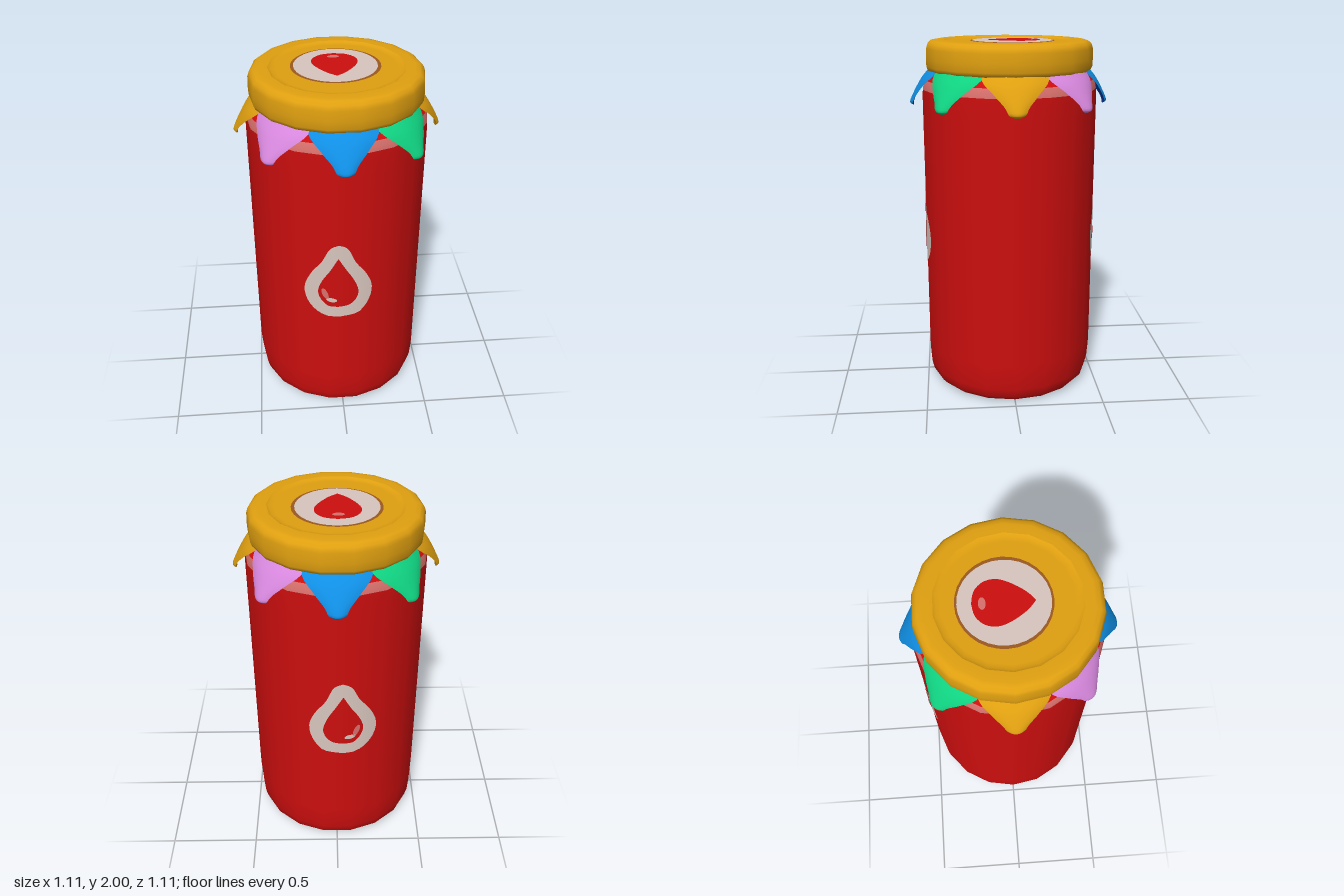
import * as THREE from 'three';

const paint = (name, color) => {
  const m = new THREE.MeshStandardMaterial({ color, side: THREE.DoubleSide });
  m.name = name;
  return m;
};
const SIDES = 18, R = 0.49;

// turned part whose facets start on the x axis
function turned(name, profile, material) {
  const pts = profile.map(([x, y]) => new THREE.Vector2(x, y));
  const mesh = new THREE.Mesh(new THREE.LatheGeometry(pts, SIDES, Math.PI / 2), material);
  mesh.name = name;
  return mesh;
}

// grid of rows x cols vertices from a rule returning [x, y, z]
function grid(rows, cols, rule) {
  const pos = [], idx = [];
  for (let j = 0; j <= rows; j++)
    for (let i = 0; i <= cols; i++) {
      pos.push(...rule(i / cols, j / rows));
      if (i < cols && j < rows) {
        const a = j * (cols + 1) + i, b = a + cols + 1;
        idx.push(a, b, a + 1, a + 1, b, b + 1);
      }
    }
  const g = new THREE.BufferGeometry();
  g.setAttribute('position', new THREE.Float32BufferAttribute(pos, 3));
  g.setIndex(idx);
  g.computeVertexNormals();
  return g;
}

// closed outline from the right half of a symmetric shape
function mirrored(half) {
  const right = new THREE.SplineCurve(half.map(([x, y]) => new THREE.Vector2(x, y))).getPoints(24);
  const left = right.slice(0, -1).reverse().map(p => new THREE.Vector2(-p.x, p.y));
  return [...right, ...left];
}

const oval = (rx, ry, tilt = 0) => Array.from({ length: 33 }, (_, i) => {
  const a = -i / 32 * Math.PI * 2;
  return new THREE.Vector2(rx * Math.cos(a), ry * Math.sin(a)).rotateAround(new THREE.Vector2(), tilt);
});

// filled outline draped on a surface: place(u, v) -> [x, y, z], normal(x, z) -> [x, y, z]
function decal(name, outline, cx, cy, place, normal, material) {
  const n = outline.length - 1;
  const mid = (outline.reduce((m, p) => Math.max(m, p.y), -9) + outline.reduce((m, p) => Math.min(m, p.y), 9)) / 2;
  const g = grid(8, n, (s, t) => {
    const p = outline[Math.round(s * n)];
    return place(cx + p.x * t, cy + mid + (p.y - mid) * t);
  });
  const pos = g.attributes.position, nor = g.attributes.normal;
  for (let i = 0; i < pos.count; i++) nor.setXYZ(i, ...normal(pos.getX(i), pos.getZ(i)));
  // wind the faces to agree with the normals
  const k = g.index.array, v = j => new THREE.Vector3().fromBufferAttribute(pos, k[j]);
  const last = k.length - 6;
  const a = v(last), face = v(last + 1).sub(a).cross(v(last + 2).sub(a));
  if (face.dot(new THREE.Vector3().fromBufferAttribute(nor, k[last])) < 0)
    for (let i = 0; i < k.length; i += 3) [k[i], k[i + 1]] = [k[i + 1], k[i]];
  const mesh = new THREE.Mesh(g, material);
  mesh.name = name;
  return mesh;
}

// one cloth flap side: flares out and down to a rounded tip
function flapSide(thickness) {
  const spine = new THREE.SplineCurve([[0.435, 1.84], [0.475, 1.79], [0.515, 1.72], [0.54, 1.665], [0.535, 1.643]]
    .map(([r, y]) => new THREE.Vector2(r, y)));
  const width = new THREE.SplineCurve([[0, 0.185], [0.2, 0.165], [0.5, 0.11], [0.8, 0.062], [0.93, 0.042], [1, 0.012]]
    .map(([t, w]) => new THREE.Vector2(t, w)));
  return grid(14, 8, (s, t) => {
    const u = s * 2 - 1, c = spine.getPoint(t), w = width.getPoint(t).y;
    const r = c.x + thickness * (1 - u * u) * Math.min(1, (1 - t) * 6);
    const a = u * w / c.x;
    return [r * Math.sin(a), c.y, r * Math.cos(a)];
  });
}

export function createModel() {
  const red = paint('jar red', 0xcc0e0e), gold = paint('lid gold', 0xe0a010);
  const cream = paint('label cream', 0xd8c6be), brown = paint('label brown', 0x9c5a20);
  const pale = paint('pale red', 0xd8706c), blue = paint('flap blue', 0x1090e6);
  const navy = paint('lining blue', 0x0a3cb0), green = paint('flap green', 0x10d482);
  const violet = paint('flap violet', 0xd888de);
  const model = new THREE.Group();
  model.name = 'jar';

  // jar body, pale shoulder band and neck
  model.add(
    turned('body', [[0, 0], [0.38, 0], [0.405, 0.001], [0.445, 0.012], [0.47, 0.04], [0.482, 0.09],
      [0.489, 0.18], [R, 0.24], [R, 1.6], [R, 1.7], [0.488, 1.735]], red),
    turned('shoulderBand', [[0.488, 1.735], [0.484, 1.76], [0.473, 1.785]], pale),
    turned('neck', [[0.473, 1.785], [0.45, 1.808], [0.42, 1.82], [0.41, 1.86]], red));

  // lid with a shallow recessed top
  model.add(
    turned('lid', [[0.40, 1.832], [0.435, 1.832], [0.455, 1.838], [0.464, 1.858], [0.466, 1.9], [0.464, 1.955],
      [0.456, 1.98], [0.437, 1.995], [0.41, 2], [0.36, 2]], gold),
    turned('lidRecess', [[0.36, 2], [0.345, 1.992], [0.32, 1.99], [0, 1.99]], gold),
    turned('lidUnderside', [[0, 1.832], [0.40, 1.832]], gold));

  // eight cloth flaps
  const cloth = [blue, green, gold, violet];
  for (let i = 0; i < 8; i++) {
    const flap = new THREE.Group(), colour = cloth[i % 4];
    flap.name = 'clothFlap';
    const outer = new THREE.Mesh(flapSide(0.016), colour);
    const inner = new THREE.Mesh(flapSide(-0.006), colour === blue ? navy : colour);
    outer.name = 'flapOutside';
    inner.name = 'flapInside';
    flap.add(outer, inner);
    flap.rotation.y = i * Math.PI / 4;
    model.add(flap);
  }

  // drop labels draped over the front and back facets
  const half = Math.PI / SIDES, flatX = R * Math.sin(half), flatZ = R * Math.cos(half);
  const border = mirrored([[0, 1.2], [0.05, 1.175], [0.09, 1.09], [0.145, 1.01], [0.184, 0.91],
    [0.168, 0.81], [0.105, 0.735], [0, 0.71]]);
  const drop = mirrored([[0, 1.115], [0.04, 1.045], [0.085, 0.97], [0.11, 0.895], [0.095, 0.835],
    [0.055, 0.796], [0, 0.785]]);
  for (const side of [1, -1]) {
    const drape = lift => (x, y) =>
      [x, y, side * (flatZ + lift - Math.tan(2 * half) * Math.max(0, Math.abs(x) - flatX))];
    const out = (x, z) => { const l = Math.hypot(x, z); return [x / l, 0, z / l]; };
    model.add(
      decal('dropBorder', border, -0.03, 0, drape(0.003), out, cream),
      decal('drop', drop, -0.032, 0, drape(0.006), out, red),
      decal('dropGlint', oval(0.016, 0.038, 0.35), -0.105, 0.88, drape(0.009), out, pale),
      decal('dropGlintSmall', oval(0.032, 0.014, -0.3), -0.07, 0.838, drape(0.009), out, cream));
  }

  // round label on the lid
  const flat = y => (x, z) => [x, y, z], up = () => [0, 1, 0];
  const lidDrop = mirrored([[0, 0.13], [0.05, 0.085], [0.1, 0.01], [0.122, -0.055], [0.11, -0.115],
    [0.065, -0.16], [0, -0.175]]);
  model.add(
    decal('lidLabelRim', oval(0.238, 0.235), -0.005, -0.02, flat(1.993), up, brown),
    decal('lidLabel', oval(0.221, 0.224), -0.006, -0.02, flat(1.995), up, cream),
    decal('lidDrop', lidDrop, -0.008, 0, flat(1.997), up, red),
    decal('lidDropGlint', oval(0.032, 0.018), -0.01, -0.125, flat(1.999), up, pale));
  return model;
}
